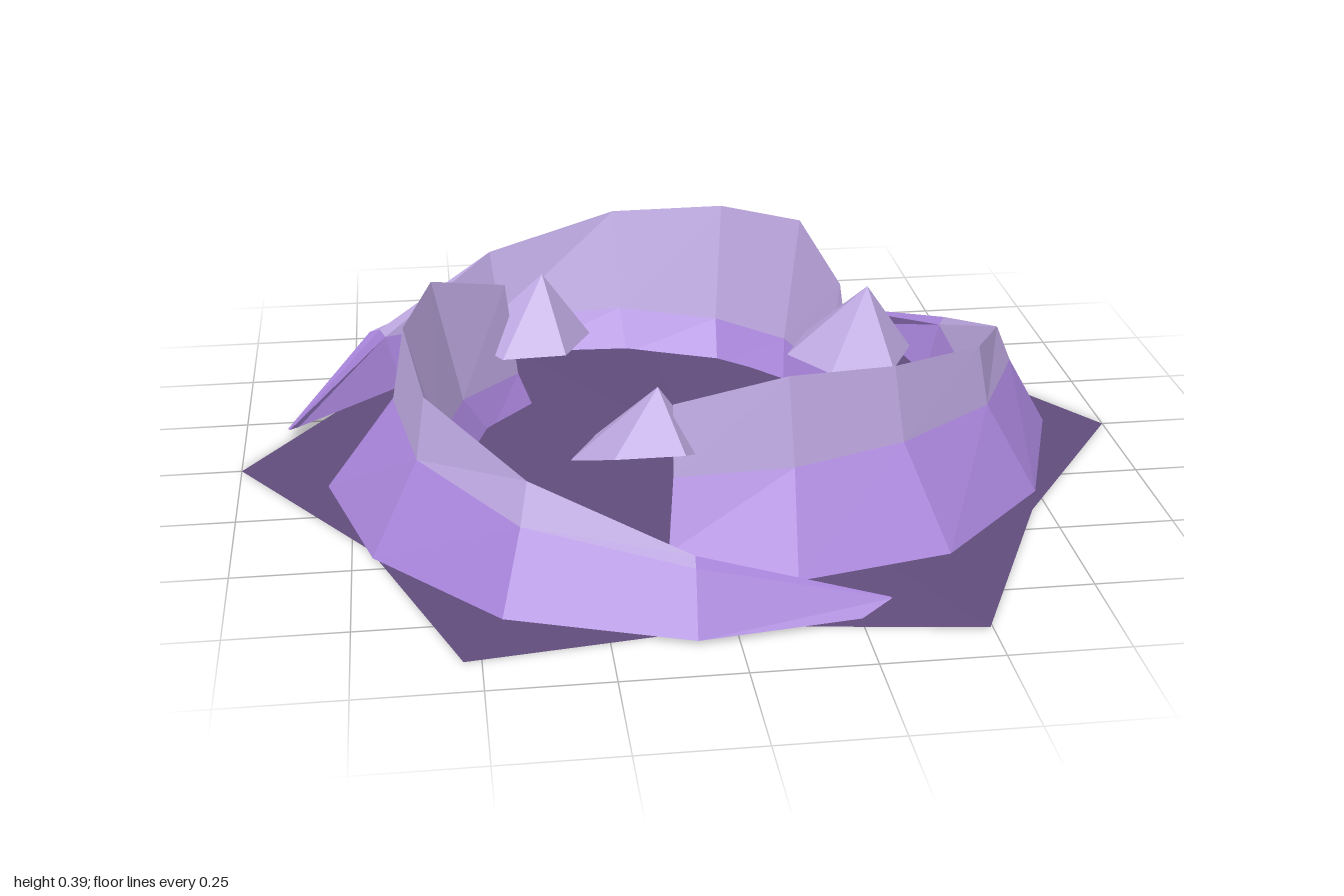
import * as THREE from 'three';

function flatMaterial(name, color) {
  const m = new THREE.MeshStandardMaterial({ color, flatShading: true, side: THREE.DoubleSide });
  m.name = name;
  return m;
}
const lilac = flatMaterial('pale lilac', 0xbda7e0);
const purple = flatMaterial('purple', 0xa884da);
const dark = flatMaterial('dark purple', 0x614c7b);

// Mesh from a flat list of triangle corners
function facetMesh(name, points, material) {
  const geo = new THREE.BufferGeometry().setFromPoints(points);
  geo.computeVertexNormals();
  const mesh = new THREE.Mesh(geo, material);
  mesh.name = name;
  return mesh;
}

const polar = (deg, r, y) => {
  const a = THREE.MathUtils.degToRad(deg);
  return new THREE.Vector3(Math.cos(a) * r, y, Math.sin(a) * r);
};

// Slightly domed six-pointed base
function makeBase() {
  const rim = [];
  for (let i = 0; i < 12; i++) {
    const tipRadius = i % 6 === 0 ? 1 : 1.03;
    const p = polar(i * 30, i % 2 ? 0.825 : tipRadius, 0);
    if (i % 6 && i % 2 === 0) p.x -= 0.02;
    rim.push(p);
  }
  const tris = [];
  const top = new THREE.Vector3(0, 0.033, 0);
  rim.forEach((p, i) => tris.push(top, rim[(i + 1) % 12], p));
  return facetMesh('starBase', tris, dark);
}

// Ridge sections from tail to head: angle of the feet, angle of the top, then
// [radius, height] of outer foot, outer shoulder, crest, inner shoulder, inner foot
const SECTIONS = [
  [72.5, 68, [0.895, 0.01], [0.89, 0.035], [0.887, 0.037], [0.884, 0.035], [0.88, 0.01]],
  [94, 94, [0.90, 0.01], [0.83, 0.13], [0.80, 0.142], [0.785, 0.125], [0.745, 0.003]],
  [119.5, 119.5, [0.88, 0.01], [0.79, 0.17], [0.755, 0.255], [0.715, 0.09], [0.66, 0.001]],
  [145, 144.5, [0.838, 0.01], [0.72, 0.2], [0.695, 0.335], [0.62, 0.1], [0.56, 0.001]],
  [170.5, 168.5, [0.795, 0.01], [0.645, 0.21], [0.615, 0.375], [0.545, 0.1], [0.48, 0.001]],
  [196, 191.5, [0.709, 0.01], [0.58, 0.198], [0.547, 0.39], [0.485, 0.1], [0.43, 0.001]],
  [218, 217, [0.54, 0.01], [0.48, 0.155], [0.455, 0.31], [0.425, 0.09], [0.385, 0.001]],
];

function makeArm() {
  const arm = new THREE.Group();
  arm.name = 'spiralArm';
  const rings = SECTIONS.map(([foot, top, ...pts]) =>
    pts.map(([r, y], j) => polar(j % 4 ? top : foot, r, y)));
  const lower = [], upper = [];
  for (let k = 0; k < rings.length - 1; k++) {
    for (let j = 0; j < 4; j++) {
      const a = rings[k][j], b = rings[k][j + 1];
      const c = rings[k + 1][j + 1], d = rings[k + 1][j];
      // The tail is one colour all round
      (k === 0 || j === 0 || j === 3 ? lower : upper).push(a, b, d, b, c, d);
    }
  }
  // Closed head of the ridge
  const e = rings[rings.length - 1];
  lower.push(e[0], e[1], e[3], e[0], e[3], e[4]);
  upper.push(e[1], e[2], e[3]);
  arm.add(facetMesh('ridgeSlope', lower, purple), facetMesh('ridgeCrest', upper, lilac));
  return arm;
}

// Six-sided spike floating at a ridge head; frontLift raises its front edge
function makeSpike([x, y, z], frontLift) {
  const apex = new THREE.Vector3(0.036, 0.165, 0.015);
  const bottom = new THREE.Vector3(0, 0, 0);
  const tris = [];
  const ring = [];
  for (let i = 0; i < 6; i++) {
    const p = polar(i * 60 - 3, 0.148, 0);
    p.y = Math.max(0, p.z) * frontLift;
    ring.push(p);
  }
  ring.forEach((p, i) => {
    const q = ring[(i + 1) % 6];
    tris.push(apex, q, p, bottom, p, q);
  });
  const spike = facetMesh('headSpike', tris, lilac);
  spike.position.set(x, y, z);
  return spike;
}

export function createModel() {
  const model = new THREE.Group();
  model.name = 'spiralRock';
  model.add(makeBase());
  const arms = new THREE.Group();
  arms.name = 'spiralArms';
  arms.position.set(-0.02, 0, -0.01);
  for (let i = 0; i < 3; i++) {
    const arm = makeArm();
    arm.rotation.y = (i * Math.PI * 2) / 3;
    arms.add(arm);
  }
  model.add(arms);
  model.add(
    makeSpike([-0.14, 0.175, 0.4], 0.45),
    makeSpike([0.41, 0.17, -0.12], 0),
    makeSpike([-0.33, 0.16, -0.32], 0),
  );
  return model;
}
